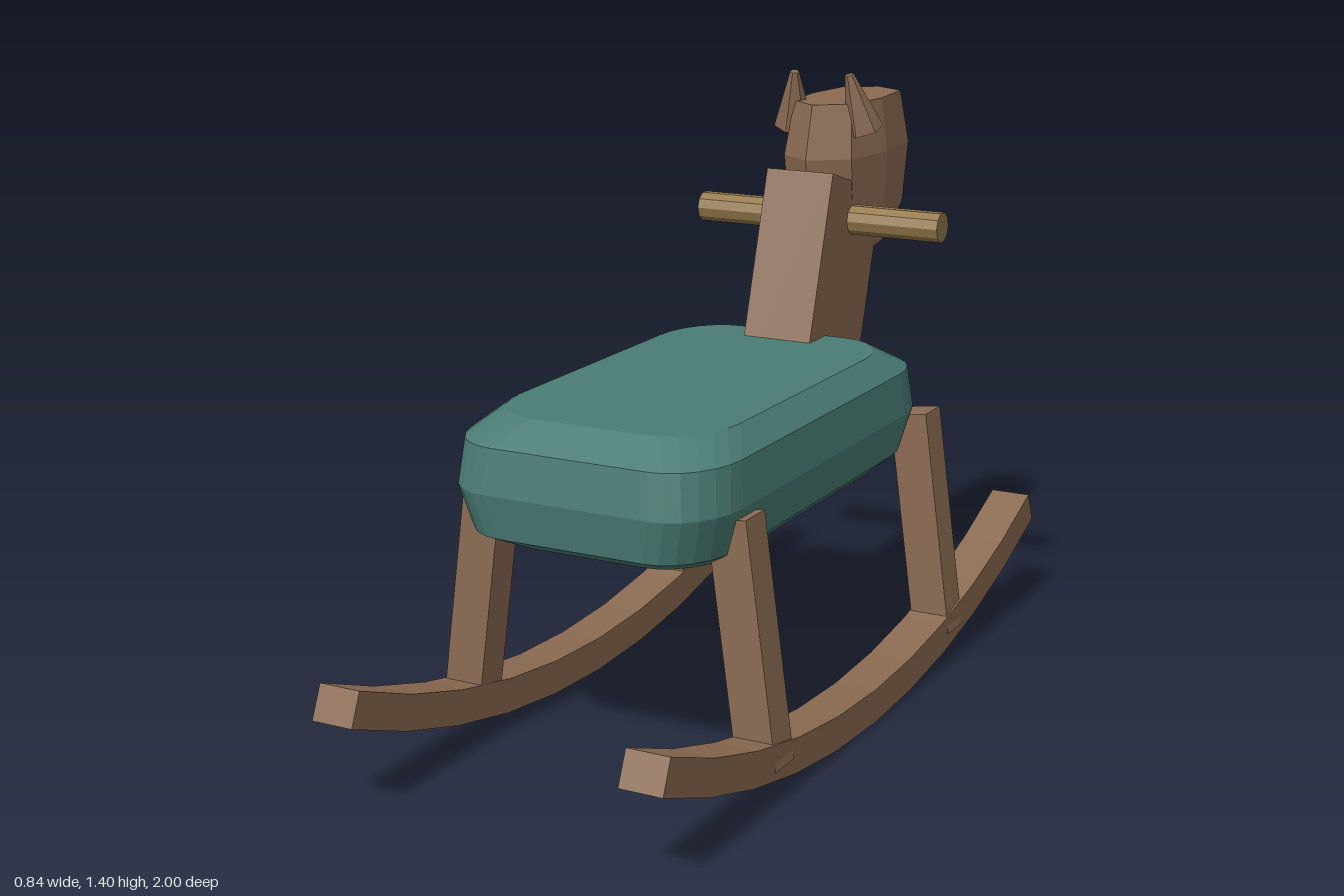
import * as THREE from 'three';

const flat = (name, color) => {
  const m = new THREE.MeshStandardMaterial({ color, flatShading: true });
  m.name = name;
  return m;
};

// Closed solid from stacked horizontal rings of equal point count
function loft(rings) {
  const n = rings[0].length, pos = [], index = [];
  rings.forEach(r => r.forEach(p => pos.push(...p)));
  for (let k = 0; k < rings.length - 1; k++) {
    for (let i = 0; i < n; i++) {
      const a = k * n + i, b = k * n + (i + 1) % n;
      index.push(a, a + n, b + n, a, b + n, b);
    }
  }
  const top = (rings.length - 1) * n;
  for (let i = 1; i < n - 1; i++) {
    index.push(0, i, i + 1, top, top + i + 1, top + i);
  }
  const g = new THREE.BufferGeometry();
  g.setAttribute('position', new THREE.Float32BufferAttribute(pos, 3));
  g.setIndex(index);
  g.computeVertexNormals();
  return g;
}

// Rounded rectangle ring at height y, with elliptical corners
function roundedRing(y, hx, hz, cz) {
  const rx = 0.13, rz = 0.17, steps = 6, ring = [];
  [[1, 1], [-1, 1], [-1, -1], [1, -1]].forEach(([sx, sz], q) => {
    for (let i = 0; i <= steps; i++) {
      const a = (q + i / steps) * Math.PI / 2;
      ring.push([sx * (hx - rx) + rx * Math.cos(a), y, cz + sz * (hz - rz) + rz * Math.sin(a)]);
    }
  });
  return ring;
}

// Eight-sided head ring, pointed at the nose and the back
function headRing([y, nose, back, w]) {
  const len = back - nose;
  const half = [[0.8, 0.85], [1, 0.5], [0.82, 0.11]];
  return [
    [0, y, back],
    ...half.map(([x, t]) => [-x * w, y, nose + t * len]),
    [0, y, nose],
    ...half.slice().reverse().map(([x, t]) => [x * w, y, nose + t * len]),
  ];
}

export function createModel() {
  const model = new THREE.Group();
  const wood = flat('wood', 0x8b6b52);
  const cushion = flat('cushion', 0x4a7c74);
  const dowel = flat('dowel', 0x94784a);

  const add = (name, geometry, material, x = 0, y = 0, z = 0) => {
    const m = new THREE.Mesh(geometry, material);
    m.name = name;
    m.position.set(x, y, z);
    model.add(m);
    return m;
  };

  // Padded seat
  add('seat', loft([
    [0.505, 0.265, 0.5], [0.54, 0.305, 0.57], [0.64, 0.33, 0.59],
    [0.74, 0.32, 0.575], [0.79, 0.27, 0.49],
  ].map(([y, hx, hz]) => roundedRing(y, hx, hz, 0.08))), cushion);

  // Curved rockers
  const outer = 2.486, inner = 2.406, end = Math.asin(1 / outer), segs = 10;
  const arc = r => Array.from({ length: segs + 1 }, (_, i) => {
    const a = end * (2 * i / segs - 1);
    return new THREE.Vector2(r * Math.sin(a), outer - r * Math.cos(a));
  });
  const rocker = new THREE.ExtrudeGeometry(
    new THREE.Shape([...arc(outer), ...arc(inner).reverse()]),
    { depth: 0.1, bevelEnabled: false });
  rocker.translate(0, 0, -0.05).rotateY(Math.PI / 2);

  // Splayed legs
  const leg = new THREE.BoxGeometry(0.093, 0.55, 0.087);

  // Pointed ears
  const ear = new THREE.CylinderGeometry(0.011, 0.048, 0.145, 6);

  for (const s of [1, -1]) {
    const side = s > 0 ? 'left' : 'right';
    add(side + 'Rocker', rocker, wood, s * 0.365, 0, 0);
    for (const z of [0.473, -0.473]) {
      const l = add(side + (z > 0 ? 'BackLeg' : 'FrontLeg'), leg, wood, s * 0.335, 0.342, z);
      l.rotation.z = s * 0.133;
    }
    const e = add(side + 'Ear', ear, wood, s * 0.084, 1.333, -0.578);
    e.rotation.set(0.3, 0, s * 0.15);
  }

  // Leaning neck
  add('neck', new THREE.BoxGeometry(0.175, 0.567, 0.3), wood, 0, 0.865, -0.5).rotation.x = -0.3;

  // Faceted head: height, nose z, back z, half width
  add('head', loft([
    [0.96, -0.8, -0.58, 0.085], [1.05, -0.9, -0.5, 0.108],
    [1.2, -0.93, -0.47, 0.113], [1.33, -0.9, -0.505, 0.095],
  ].map(headRing)), wood);

  // Handlebar through the neck
  add('handlebar', new THREE.CylinderGeometry(0.037, 0.037, 0.645, 10), dowel, 0, 1.05, -0.56)
    .rotation.z = Math.PI / 2;

  return model;
}
